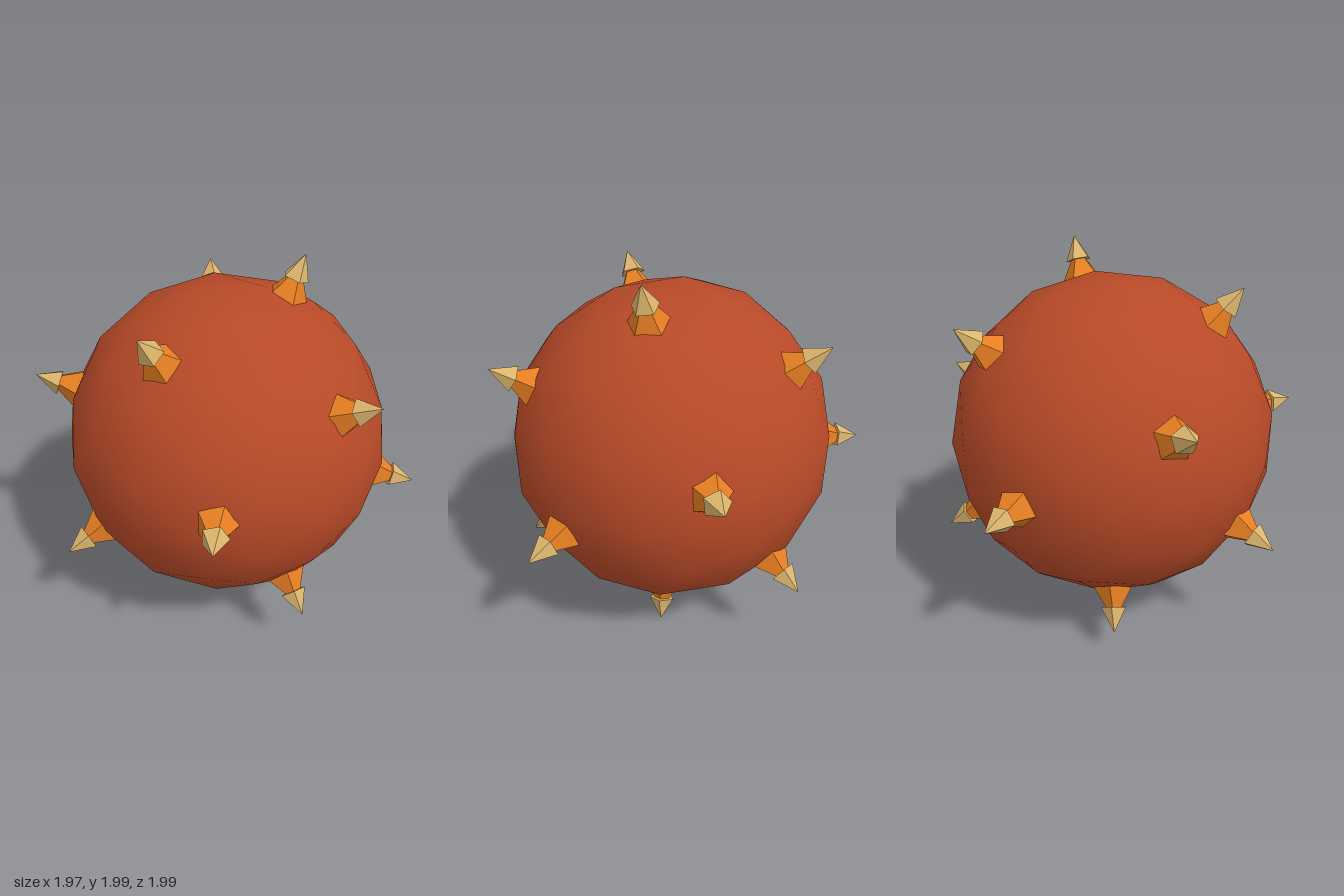
import * as THREE from 'three';

const SPIKES = 14;
const GOLDEN_ANGLE = Math.PI * (3 - Math.sqrt(5));

function material(color, flatShading) {
  return new THREE.MeshStandardMaterial({ color, flatShading });
}

export function createModel() {
  const group = new THREE.Group();
  group.name = 'spikedBall';

  const bodyMat = material(0xb84a28, false);
  const baseMat = material(0xe67e22, true);
  const tipMat = material(0xdcb56c, true);

  // Smooth round body
  const body = new THREE.Mesh(new THREE.IcosahedronGeometry(0.867, 2), bodyMat);
  body.name = 'body';
  group.add(body);

  // Five-sided spike parts, shifted outward along y
  const baseGeo = new THREE.CylinderGeometry(0.04, 0.108, 0.11, 5).translate(0, 0.895, 0);
  const tipGeo = new THREE.ConeGeometry(0.07, 0.13, 5).translate(0, 1.009, 0);

  // Spikes spread evenly on a golden-angle spiral
  const up = new THREE.Vector3(0, 1, 0);
  for (let i = 0; i < SPIKES; i++) {
    const y = 1 - (2 * i + 1) / SPIKES;
    const r = Math.sqrt(1 - y * y);
    const a = i * GOLDEN_ANGLE;
    const dir = new THREE.Vector3(r * Math.cos(a), y, r * Math.sin(a));

    const spike = new THREE.Group();
    spike.name = 'spike';
    const base = new THREE.Mesh(baseGeo, baseMat);
    base.name = 'spikeBase';
    const tip = new THREE.Mesh(tipGeo, tipMat);
    tip.name = 'spikeTip';
    spike.add(base, tip);
    spike.quaternion.setFromUnitVectors(up, dir);
    group.add(spike);
  }

  // Rest the lowest spike on the ground and centre the whole
  group.position.set(0, 1, -0.043);
  const model = new THREE.Group();
  model.add(group);
  return model;
}
